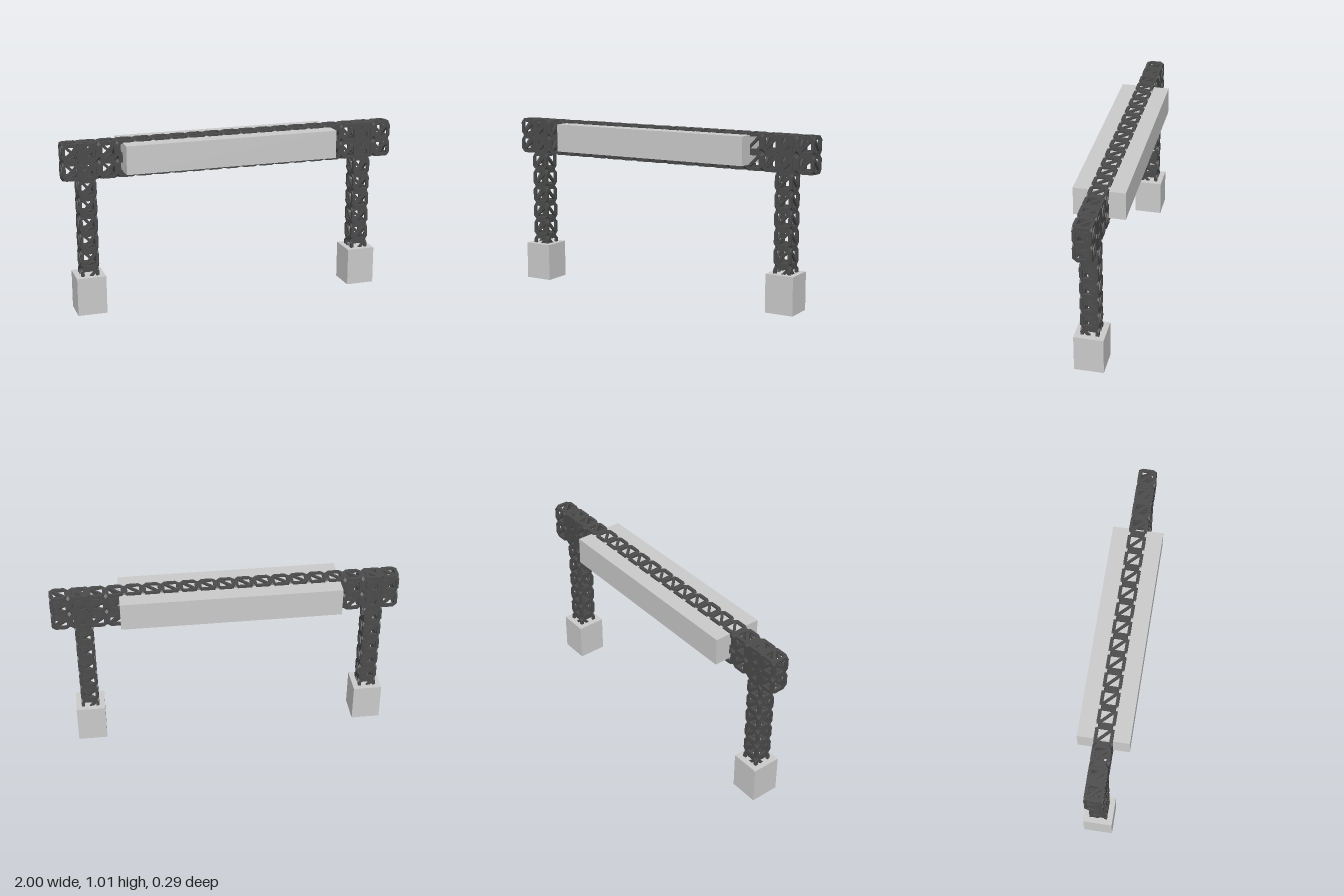
import * as THREE from 'three';
import { mergeGeometries } from 'three/addons/utils/BufferGeometryUtils.js';

const CELL = 2 / 19;      // lattice pitch
const TOP = 1.006;        // top of the gantry
const H = CELL / 2;

// One wall of a lattice cell: chamfered square, window split by a diagonal strut
function makeWall() {
  const c = 0.022, w = 0.034, d = 0.011, t = 0.013;
  const pts = (list) => list.map(([x, y]) => new THREE.Vector2(x, y));
  const shape = new THREE.Shape(pts([
    [H - c, -H], [H, -H + c], [H, H - c], [H - c, H],
    [-H + c, H], [-H, H - c], [-H, -H + c], [-H + c, -H],
  ]));
  shape.holes.push(
    new THREE.Path(pts([[-w, w], [w - d, w], [-w, d - w]])),
    new THREE.Path(pts([[w, -w], [d - w, -w], [w, w - d]])),
  );
  return new THREE.ExtrudeGeometry(shape, { depth: t, bevelEnabled: false }).translate(0, 0, H - t);
}

// Six walls whose diagonals cross on opposite sides
function makeCell() {
  const wall = makeWall();
  const axis = new THREE.Vector3(1, 1, 1).normalize();
  const walls = [];
  for (let k = 0; k < 3; k++) {
    for (const flip of [0, Math.PI]) {
      const turn = new THREE.Matrix4().makeRotationAxis(axis, k * Math.PI * 2 / 3);
      walls.push(wall.clone().rotateX(flip).applyMatrix4(turn));
    }
  }
  return mergeGeometries(walls);
}

export function createModel() {
  const group = new THREE.Group();
  const grey = new THREE.MeshStandardMaterial({ color: 0xcccccc });
  const dark = new THREE.MeshStandardMaterial({ color: 0x4b4b4b, flatShading: true });
  const cell = makeCell();

  // Block of cells starting at the top row, left edge x0
  const lattice = (name, x0, columns, rows) => {
    const cells = [];
    for (let i = 0; i < columns; i++) {
      for (let j = 0; j < rows; j++) {
        cells.push(cell.clone().translate(x0 + (i + 0.5) * CELL, TOP - (j + 0.5) * CELL, 0));
      }
    }
    const mesh = new THREE.Mesh(mergeGeometries(cells), dark);
    mesh.name = name;
    group.add(mesh);
  };

  const block = (name, x0, x1, y0, y1, depth) => {
    const mesh = new THREE.Mesh(new THREE.BoxGeometry(x1 - x0, y1 - y0, depth), grey);
    mesh.name = name;
    mesh.position.set((x0 + x1) / 2, (y0 + y1) / 2, 0);
    group.add(mesh);
  };

  // Horizontal beam with the block around its middle
  lattice('beam', -1, 19, 2);
  block('beamBlock', -0.655, 0.61, 0.83, 0.995, 0.29);

  // Columns standing in foot blocks
  for (const [side, x] of [['right', -0.863], ['left', 0.82]]) {
    lattice(side + 'Column', x - H, 1, 8);
    block(side + 'Foot', x - 0.085, x + 0.085, 0, 0.224, 0.17);
  }
  return group;
}
